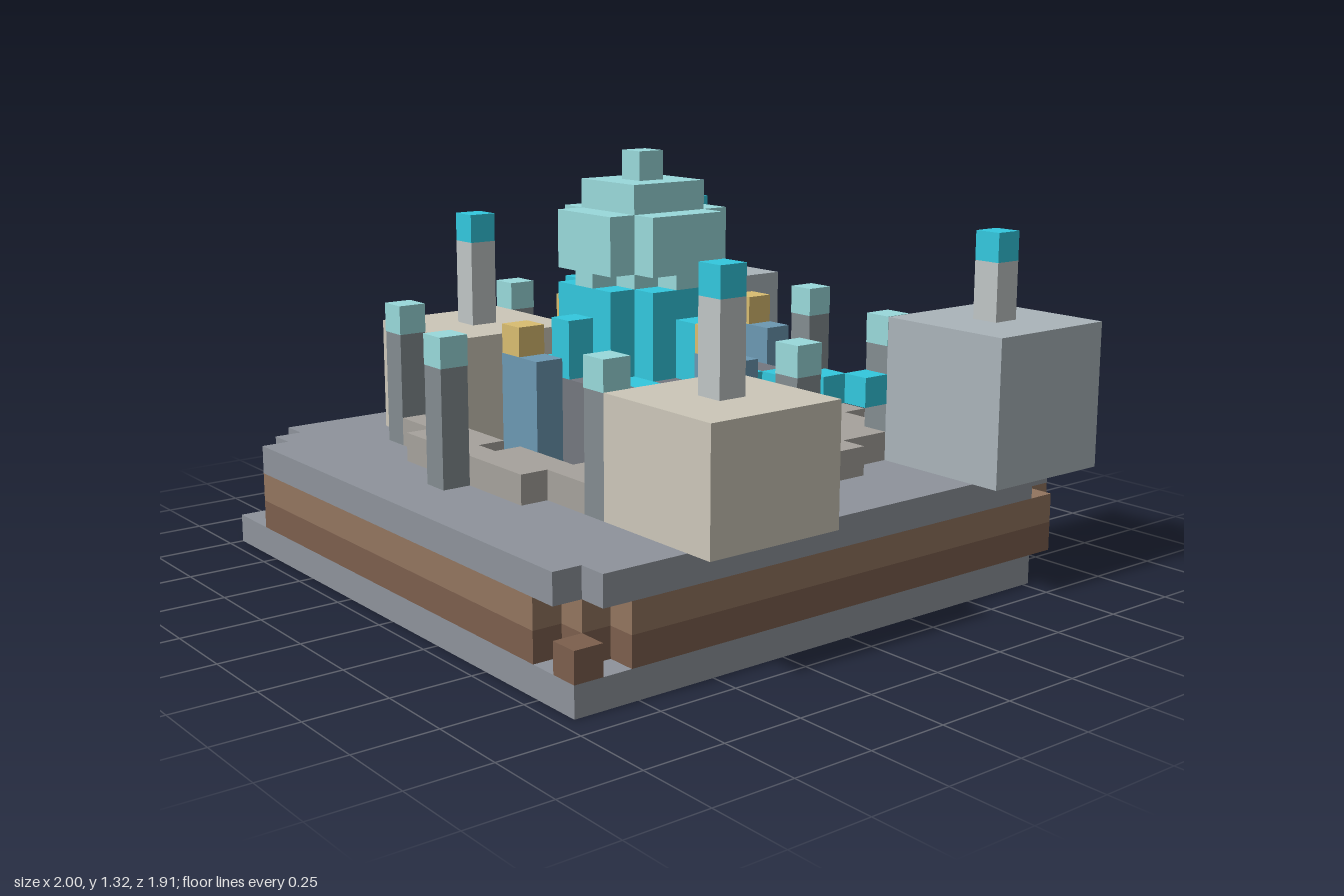
import * as THREE from 'three';

const U = 1 / 11; // one block
const X0 = -11, Z0 = -10.5; // block-grid origin, in blocks

const C = {
  stone: 0x8e939b, soil: 0x92755f, darkSoil: 0x7c5f4d, beige: 0xccc7b9, slateWall: 0xaab4ba,
  chimney: 0xbfc5c5, post: 0x838c90, pale: 0x99d9db, cyan: 0x33c8de, gold: 0xd9bd70,
  stall: 0x6c98b2, paving: 0xa6a29c, plinth: 0x74777f,
};
const materials = {};
const material = (c) => (materials[c] ??= new THREE.MeshStandardMaterial({ color: C[c], flatShading: true }));

export function createModel() {
  const model = new THREE.Group();

  // Box from block (x, y, z) spanning w, h, d blocks; grow avoids coincident faces
  function box(name, color, x, y, z, w = 1, h = 1, d = 1, grow = 0) {
    const g = grow * 2;
    const mesh = new THREE.Mesh(new THREE.BoxGeometry(w * U + g, h * U + g, d * U + g), material(color));
    mesh.name = name;
    mesh.position.set((X0 + x + w / 2) * U, (y + h / 2) * U, (Z0 + z + d / 2) * U);
    model.add(mesh);
  }

  // Ground: four strata, each a full slab plus edge rows [z, xStart, xEnd] with worn corners
  const strata = [
    ['groundBottom', 'stone', [[0, 1, 19], [1, 0, 20], [19, 1, 21], [20, 0, 21]]],
    ['groundDarkSoil', 'darkSoil', [[0, 1, 20], [1, 0, 21], [19, 0, 20], [20, 2, 19], [20, 20, 21]]],
    ['groundSoil', 'soil', [[0, 0, 1], [0, 2, 20], [1, 0, 21], [19, 0, 20], [20, 2, 19]]],
    ['groundTop', 'stone', [[0, 2, 20], [1, 0, 20], [19, 1, 21], [20, 2, 20]]],
  ];
  strata.forEach(([name, color, rows], y) => {
    box(name, color, 0, y, 2, 21, 1, 17);
    for (const [z, a, b] of rows) box(name + 'Edge', color, a, y, z, b - a);
  });

  // Round paved path, built as runs of blocks along each row
  const inRing = (x, z) => {
    const r = (x - 10) ** 2 + (z - 10) ** 2;
    return r > 36 && r < 64;
  };
  for (let z = 2; z <= 18; z++) {
    for (let x = 2; x <= 18; x++) {
      if (!inRing(x, z)) continue;
      const start = x;
      while (inRing(x + 1, z)) x++;
      box('pavedPath', 'paving', start, 4, z, x - start + 1);
    }
  }

  // Four houses with chimneys: x, z, height, wall, chimney x, chimney z
  for (const [x, z, h, wall, cx, cz] of [
    [17, 0, 5, 'slateWall', 19, 2], [2, 1, 5, 'slateWall', 4, 3],
    [2, 11, 4, 'beige', 4, 13], [17, 12, 4, 'beige', 19, 14],
  ]) {
    box('house', wall, x, 4, z, 5, h, 5);
    box('chimney', 'chimney', cx, 4 + h, cz, 1, 7 - h);
    box('chimneyLight', 'cyan', cx, 11, cz);
  }

  // Eight lamp posts around the path
  for (const [dx, dz] of [[8, 0], [-8, 0], [0, 8], [0, -8], [6, 6], [6, -6], [-6, 6], [-6, -6]]) {
    box('lampPost', 'post', 10 + dx, 4, 10 + dz, 1, 4);
    box('lamp', 'pale', 10 + dx, 8, 10 + dz, 1, 1, 1, 0.001);
  }

  // Market stalls with a gold block on one side
  for (const [x, z] of [[10, 5], [10, 15], [6, 10], [14, 10]]) {
    box('stall', 'stall', x, 4, z, 2, 4, 1, 0.001);
    box('stallGold', 'gold', x, 8, z);
  }

  // Central plinth
  box('plinth', 'plinth', 7, 4, 7, 7, 3, 7);

  // Water channels leaving the plinth corners
  for (const [x, z] of [
    [13, 8], [14, 7], [15, 6], [16, 5], [7, 8], [6, 8], [6, 7], [5, 6],
    [13, 12], [14, 13], [15, 13], [16, 13], [7, 12],
    [8, 8], [12, 8], [8, 12], [12, 12],
  ]) box('waterChannel', 'cyan', x, 6, z, 1, 1, 1, 0.0015);

  // Crossed slabs: a square of the given size without its corners
  function cross(name, color, y, h, long, short) {
    const a = 10.5 - long / 2, b = 10.5 - short / 2;
    box(name, color, a, y, b, long, h, short);
    box(name, color, b, y, a, short, h, long);
  }

  // Fountain basin and stepped crystal dome
  cross('fountain', 'cyan', 7, 3, 5, 3);
  cross('fountainSpout', 'cyan', 7, 2, 7, 1);
  cross('domeNeck', 'pale', 10, 0.5, 5, 1);
  box('domeNeckCore', 'pale', 9, 10, 9, 3, 0.5, 3);
  cross('dome', 'pale', 10.5, 2, 5, 3);
  box('domeTier', 'pale', 9, 12.5, 9, 3, 1, 3);
  box('domeTip', 'pale', 10, 13.5, 10);

  return model;
}
